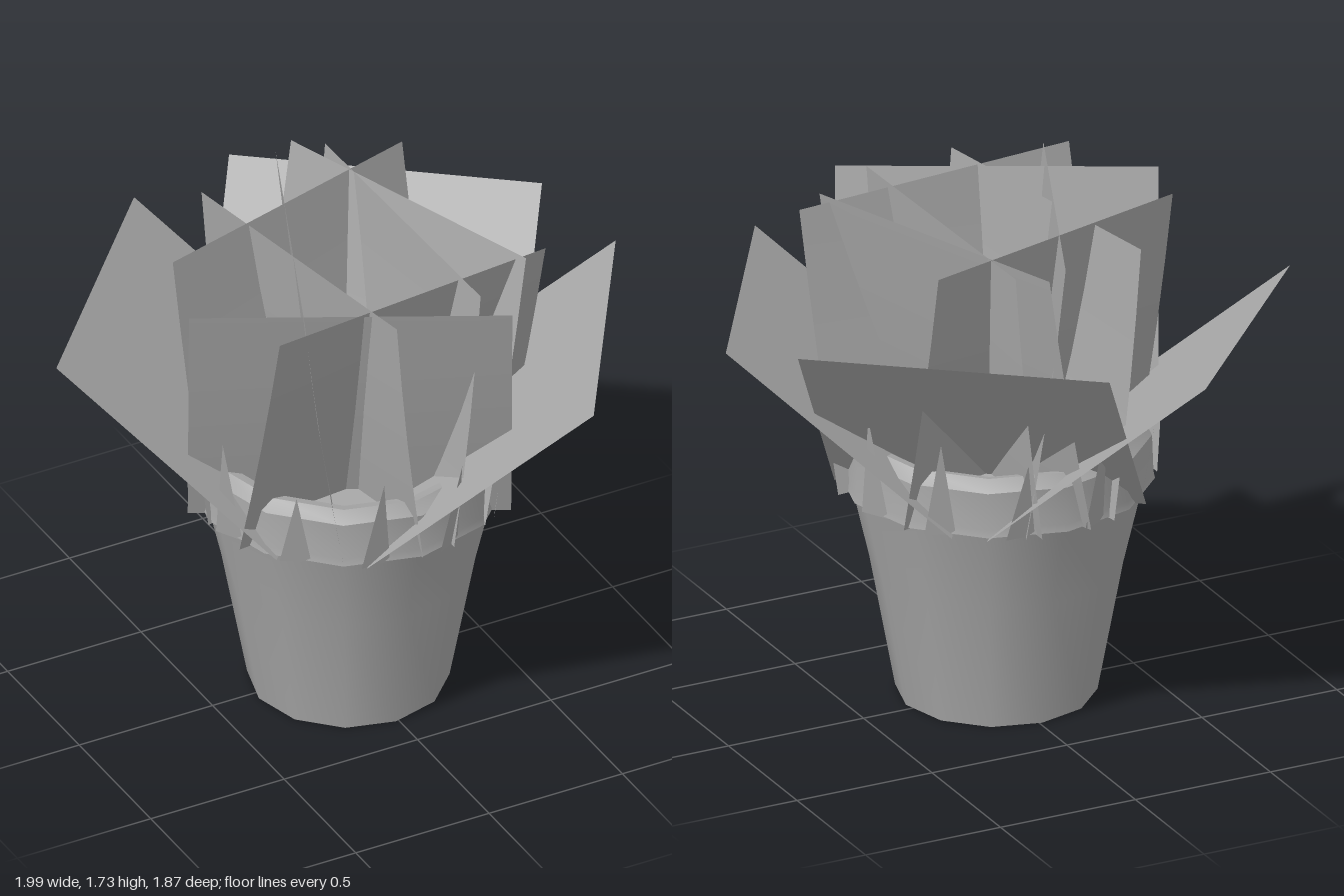
import * as THREE from 'three';
import { toCreasedNormals } from 'three/addons/utils/BufferGeometryUtils.js';

export function createModel() {
  const model = new THREE.Group();
  model.name = 'pottedPlant';
  const grey = new THREE.MeshStandardMaterial({ color: 0xa8a8a8, side: THREE.DoubleSide });
  grey.name = 'plain grey';

  const cx = -0.01, cz = 0.035; // pot axis

  function add(name, geometry, parent = model) {
    const mesh = new THREE.Mesh(geometry, grey);
    mesh.name = name;
    parent.add(mesh);
    return mesh;
  }

  // Pot: tapered body, overhanging rim with bevelled lip, inner wall
  const profile = [
    [0, 0], [0.335, 0], [0.42, 0.46], [0.49, 0.76], [0.525, 0.765], [0.52, 0.79],
    [0.515, 0.92], [0.48, 0.96], [0.44, 0.95], [0.42, 0.86],
  ].map(([r, y]) => new THREE.Vector2(r, y));
  const pot = add('pot', toCreasedNormals(new THREE.LatheGeometry(profile, 12), 0.6));
  pot.position.set(cx, 0, cz);

  // Soil disc
  const soil = add('soil', new THREE.CircleGeometry(0.43, 12).rotateX(-Math.PI / 2));
  soil.position.set(cx, 0.87, cz);

  // Leaf sheet: top edge from a to b, leaning inward by d down to the pot, slightly bowed
  function leafSheet([ax, az], [bx, bz], topY, d, bow) {
    const g = new THREE.PlaneGeometry(1, 1, 1, 4);
    const p = g.attributes.position;
    let nx = -(bz - az), nz = bx - ax;
    const len = Math.hypot(nx, nz);
    nx /= len;
    nz /= len;
    // make the lean point toward the pot axis
    const mx = (ax + bx) / 2 - cx, mz = (az + bz) / 2 - cz;
    const s = nx * mx + nz * mz > 0 ? -1 : 1;
    for (let i = 0; i < p.count; i++) {
      const u = p.getX(i) + 0.5, t = 0.5 - p.getY(i);
      const lean = s * (d * t + bow * Math.sin(Math.PI * t));
      p.setXYZ(i, ax + (bx - ax) * u + nx * lean, topY + (0.76 - topY) * t,
        az + (bz - az) * u + nz * lean);
    }
    g.computeVertexNormals();
    return g;
  }

  // Wide outer leaves
  const outer = new THREE.Group();
  outer.name = 'outerLeaves';
  model.add(outer);
  [
    [[-1, -0.16], [-0.29, -0.94], 1.4, 0.75],
    [[0.05, -0.91], [0.88, -0.27], 1.48, 0.65],
    [[0.99, 0.04], [0.43, 0.93], 1.4, 0.75],
  ].forEach(([a, b, y, d]) => add('outerLeaf', leafSheet(a, b, y, d, 0), outer));

  // Tall upright leaves
  const inner = new THREE.Group();
  inner.name = 'tallLeaves';
  model.add(inner);
  [
    [[-0.59, -0.11], [0.42, -0.39], 1.72, 0.17],
    [[-0.5, 0.47], [0.55, 0.37], 1.7, 0.24],
    [[-0.68, 0.17], [0.27, 0.66], 1.69, 0.24],
    [[-0.3, -0.45], [-0.12, 0.58], 1.71, 0.11],
    [[0.19, -0.5], [0.21, 0.55], 1.72, 0.1],
    [[0.02, -0.53], [-0.39, 0.44], 1.73, 0.13],
    [[0.1, -0.57], [0.45, 0.42], 1.72, 0.2],
  ].forEach(([a, b, y, d]) => add('tallLeaf', leafSheet(a, b, y, d, -0.01), inner));

  // Small pointed sprouts around the rim
  const sprouts = new THREE.Group();
  sprouts.name = 'rimSprouts';
  model.add(sprouts);
  const count = 12;
  for (let i = 0; i < count; i++) {
    const angle = (i + 0.4) / count * Math.PI * 2;
    const height = 0.33 + 0.06 * Math.sin(i * 2.3);
    const g = new THREE.BufferGeometry();
    g.setAttribute('position', new THREE.Float32BufferAttribute([
      -0.05, 0, 0.53, 0.05, 0, 0.5, 0.02, height, 0.56,
    ], 3));
    g.computeVertexNormals();
    const sprout = add('rimSprout', g, sprouts);
    sprout.position.set(cx, 0.76, cz);
    sprout.rotation.y = angle;
  }
  return model;
}
